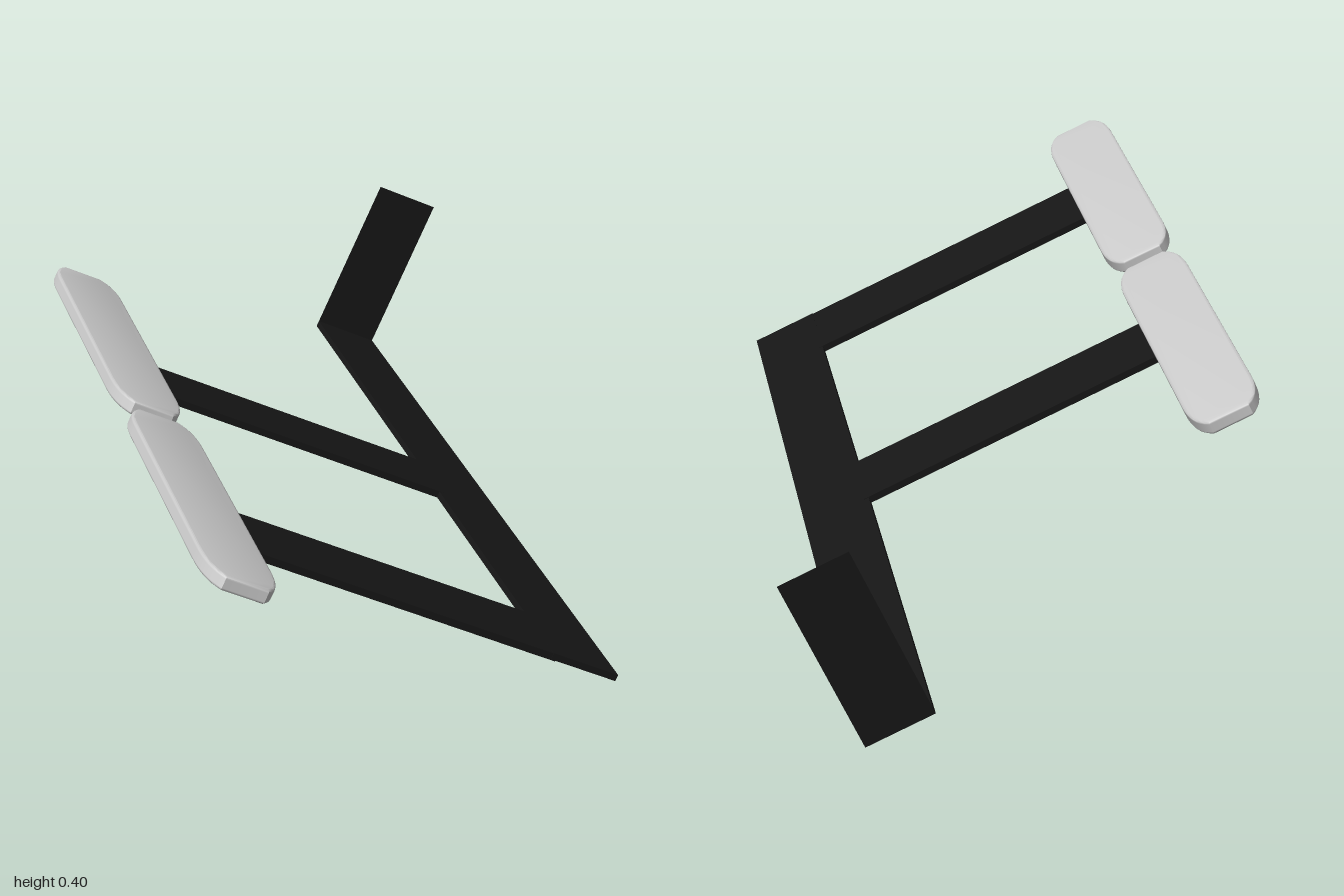
import * as THREE from 'three';
import { toCreasedNormals } from 'three/addons/utils/BufferGeometryUtils.js';

const black = new THREE.MeshStandardMaterial({ color: 0x161616, side: THREE.DoubleSide });
const grey = new THREE.MeshStandardMaterial({ color: 0xcccccc });

function add(parent, name, geometry, material, x, y, z) {
  const mesh = new THREE.Mesh(geometry, material);
  mesh.name = name;
  mesh.position.set(x, y, z);
  parent.add(mesh);
  return mesh;
}

// Long slim cushion: tapered rounded ends and softened rims, centred on its origin
function padGeometry() {
  const bevel = 0.005, thick = 0.026;
  const w = 0.067 - bevel, l = 0.381 - bevel, end = 0.036, run = 0.1;
  const s = new THREE.Shape();
  s.moveTo(w, -l + run);
  s.lineTo(w, l - run);
  s.quadraticCurveTo(w, l - 0.025, end, l);
  s.lineTo(-end, l);
  s.quadraticCurveTo(-w, l - 0.025, -w, l - run);
  s.lineTo(-w, -l + run);
  s.quadraticCurveTo(-w, -l + 0.025, -end, -l);
  s.lineTo(end, -l);
  s.quadraticCurveTo(w, -l + 0.025, w, -l + run);
  const g = new THREE.ExtrudeGeometry(s, {
    depth: thick - 2 * bevel, bevelEnabled: true, bevelSize: bevel,
    bevelThickness: bevel, bevelSegments: 3, curveSegments: 8,
  });
  g.center();
  g.rotateX(Math.PI / 2);
  return toCreasedNormals(g, 0.7);
}

export function createModel() {
  const model = new THREE.Group();

  // Everything is laid out flat, then leaned sideways about the rail's outer edge
  const frame = new THREE.Group();
  frame.name = 'frame';
  frame.position.set(0.31, 0.003, 0);
  frame.rotation.z = -0.434;
  model.add(frame);

  // Long flat rail, dropping slightly toward the back
  const t = 0.012, railW = 0.129;
  const rail = add(frame, 'rail', new THREE.BoxGeometry(railW, t, 1.757), black, -railW / 2, 0.0115, -0.1205);
  rail.rotation.x = -0.006;

  // Thin upright plate closing the back end of the rail
  add(frame, 'backPlate', new THREE.PlaneGeometry(railW, 0.333), black, -railW / 2, 0.1665, -0.999);

  // Two flat arms, each carrying a pad
  const pad = padGeometry();
  const sides = [
    { name: 'front', z: 0.667, width: 0.18, y: 0.0155, padZ: 0.619 },
    { name: 'rear', z: -0.0825, width: 0.165, y: 0.012, padZ: -0.178 },
  ];
  for (const { name, z, width, y, padZ } of sides) {
    const inner = -0.12, outer = -0.788;
    add(frame, name + 'Arm', new THREE.BoxGeometry(inner - outer, 0.013, width), black, (inner + outer) / 2, y, z);
    add(frame, name + 'Pad', pad, grey, -0.783, 0.0305, padZ);
  }
  return model;
}
